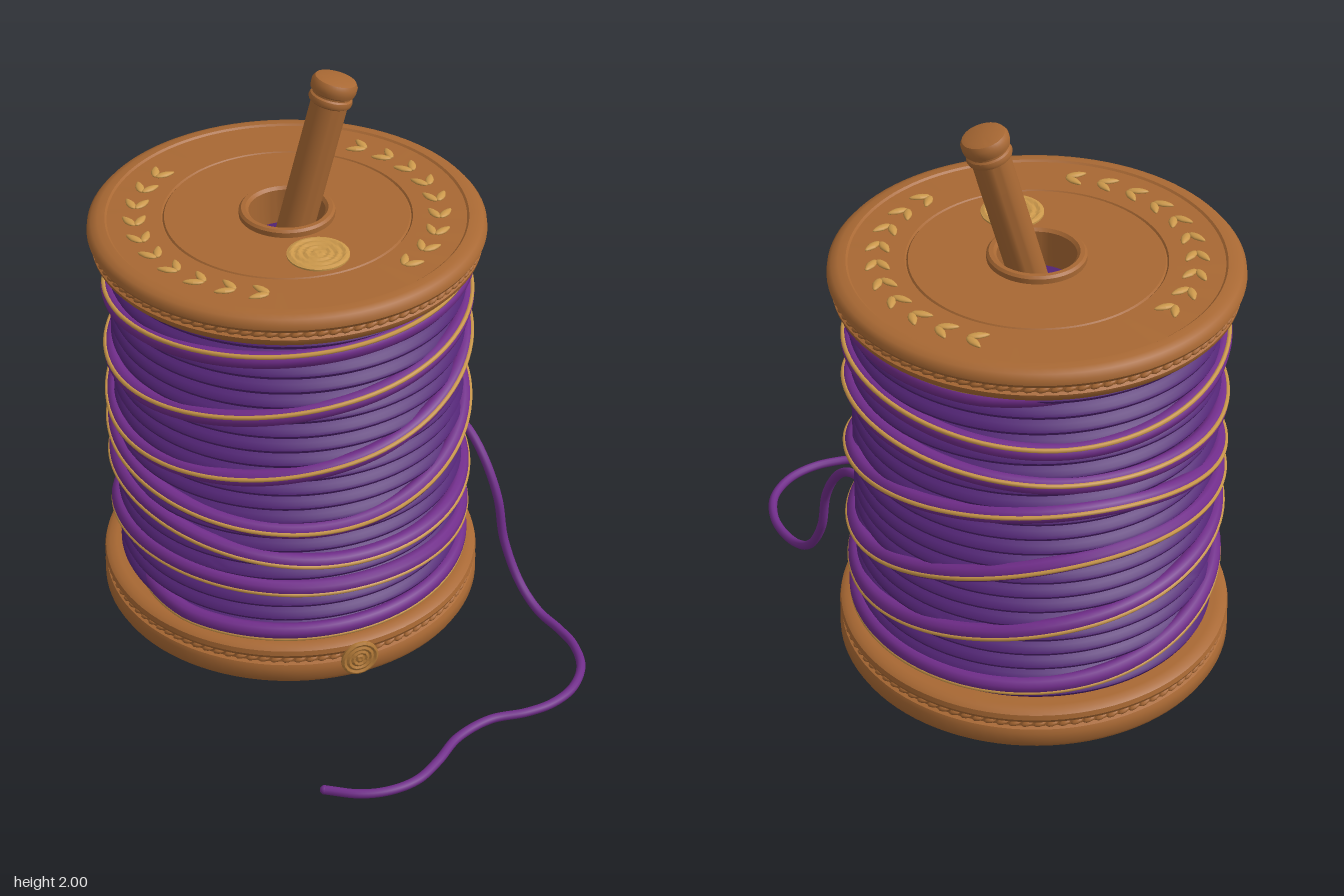
import * as THREE from 'three';
import { mergeGeometries, toCreasedNormals } from 'three/addons/utils/BufferGeometryUtils.js';

const mat = (name, color) => Object.assign(new THREE.MeshStandardMaterial({ color }), { name });

export function createModel() {
  const wood = mat('wood', 0xa86833);
  const gold = mat('gold', 0xcb984b);
  const wornGold = mat('wornGold', 0xb37a38);
  const thread = mat('deepPurpleThread', 0x522475);
  const cordPurple = mat('brightPurpleCord', 0x712d8b);

  const model = new THREE.Group();
  model.name = 'threadSpool';
  const spool = new THREE.Group();
  spool.name = 'spool';
  spool.position.set(-0.05, 0, -0.31);
  model.add(spool);

  const add = (name, geo, material, parent = spool) => {
    const m = new THREE.Mesh(geo, material);
    m.name = name;
    parent.add(m);
    return m;
  };
  const lathe = (pts, seg = 96, crease = 0.6) =>
    toCreasedNormals(new THREE.LatheGeometry(pts.map(p => new THREE.Vector2(p[0], p[1])), seg), crease);

  // Turned flanges
  add('bottomFlange', lathe([
    [0, 0.004], [0.645, 0.004], [0.665, 0.012], [0.675, 0.03], [0.675, 0.07], [0.668, 0.085],
    [0.655, 0.09], [0.655, 0.112], [0.668, 0.117], [0.674, 0.13], [0.67, 0.147], [0.655, 0.158],
    [0.63, 0.16], [0.5, 0.16],
  ]), wood);
  add('topFlange', lathe([
    [0.13, 1.392], [0.63, 1.392], [0.65, 1.396], [0.662, 1.41], [0.665, 1.424], [0.655, 1.43],
    [0.655, 1.452], [0.67, 1.456], [0.677, 1.468], [0.675, 1.485], [0.662, 1.5], [0.64, 1.508],
    [0.615, 1.51], [0.608, 1.504], [0.425, 1.504], [0.42, 1.498], [0.415, 1.504],
    [0.163, 1.504], [0.163, 1.522], [0.155, 1.53], [0.14, 1.53], [0.13, 1.52], [0.13, 1.392],
  ]), wood);

  // Slanted rope beads around both flanges
  const ropeTrim = (name, y) => {
    const beads = [];
    const count = 100;
    for (let i = 0; i < count; i++) {
      const g = new THREE.SphereGeometry(1, 8, 6);
      g.scale(0.022, 0.009, 0.011);
      g.rotateZ(0.35);
      g.translate(0, y, 0.658);
      g.rotateY((i / count) * Math.PI * 2);
      beads.push(g);
    }
    add(name, mergeGeometries(beads), wood);
  };
  ropeTrim('bottomRopeTrim', 0.102);
  ropeTrim('topRopeTrim', 1.441);

  // Wound thread: a stack of rounded coils, closed at the top as the hole floor
  const coils = 21, y0 = 0.155, y1 = 1.393;
  const body = [];
  for (let i = 0; i <= coils * 6; i++) {
    body.push([0.578 + 0.034 * Math.abs(Math.sin(i * Math.PI / 6)), y0 + (y1 - y0) * i / (coils * 6)]);
  }
  body.push([0, y1]);
  add('woundThread', lathe(body, 96, 0.8), thread);

  // Loose outer winding: height at each quarter turn (left, front, right, back, ...)
  const heights = [
    0.165, 0.175, 0.2, 0.225,
    0.37, 0.36, 0.33, 0.48,
    0.57, 0.475, 0.52, 0.74,
    0.69, 0.63, 0.83, 0.94,
    0.8, 0.895, 1.09, 1.05,
    1.02, 1.14, 1.24, 1.19,
    1.28, 1.35, 1.38, 1.385,
  ];
  const rise = new THREE.SplineCurve(heights.map((y, i) => new THREE.Vector2(i, y)));
  const winding = (isGold) => {
    const pts = [];
    const n = 500;
    for (let i = 0; i <= n; i++) {
      const t = i / n;
      const p = rise.getPoint(t);
      const a = (p.x - 1) * Math.PI / 2;
      const twist = -0.85 + 1.9 * t;              // the gold edge rolls from below to above
      const tuck = 0.06 * Math.max(0, 1 - Math.min(t, 1 - t) * 60);
      const r = 0.611 - tuck + (isGold ? 0.027 * Math.cos(twist) : 0);
      const y = p.y - (isGold ? 0 : 0.027 * Math.sin(twist));
      pts.push(new THREE.Vector3(r * Math.sin(a), y, r * Math.cos(a)));
    }
    const curve = new THREE.CatmullRomCurve3(pts);
    curve.arcLengthDivisions = 1500;
    return curve;
  };
  add('outerCord', new THREE.TubeGeometry(winding(false), 700, 0.029, 10), cordPurple);
  add('goldCordEdge', new THREE.TubeGeometry(winding(true), 700, 0.008, 6), gold);

  // Loose tail hanging off the side and trailing on the ground
  const tailPts = [
    [0.52, 0.635, -0.17], [0.548, 0.605, -0.085], [0.572, 0.53, 0], [0.595, 0.4, 0.075],
    [0.607, 0.24, 0.115], [0.635, 0.1, 0.2], [0.665, 0.035, 0.3], [0.697, 0.02, 0.4],
    [0.708, 0.02, 0.5], [0.68, 0.02, 0.62], [0.6, 0.02, 0.715], [0.5, 0.02, 0.762],
    [0.4, 0.02, 0.772], [0.27, 0.02, 0.76], [0.13, 0.02, 0.805], [0.02, 0.02, 0.89],
    [-0.08, 0.02, 0.95], [-0.18, 0.02, 0.965], [-0.28, 0.02, 0.945], [-0.385, 0.02, 0.882],
  ].map(p => new THREE.Vector3(...p));
  add('threadTail', new THREE.TubeGeometry(new THREE.CatmullRomCurve3(tailPts), 160, 0.016, 10), cordPurple, model);
  for (const p of [tailPts[0], tailPts[tailPts.length - 1]]) {
    add('threadTailEnd', new THREE.SphereGeometry(0.016, 10, 8), cordPurple, model).position.copy(p);
  }

  // Tilted peg with a rounded, collared head
  const peg = add('peg', lathe([
    [0, 0], [0.063, 0], [0.063, 0.57], [0.072, 0.576], [0.075, 0.586], [0.072, 0.597],
    [0.066, 0.602], [0.066, 0.608], [0.075, 0.614], [0.078, 0.626], [0.078, 0.645],
    [0.07, 0.658], [0.055, 0.663], [0, 0.665],
  ], 40), wood);
  peg.position.set(0.002, 1.345, 0);
  peg.rotation.z = -0.27;

  // Medallions with concentric rings
  const medallion = (radius, height) => {
    const pts = [[radius, -0.004], [radius, height]];
    for (let i = 1; i <= 36; i++) {
      pts.push([radius * (1 - i / 36), height + 0.005 * Math.sin(i / 36 * Math.PI * 4) ** 2]);
    }
    return lathe(pts, 48, 0.8);
  };
  add('topMedallion', medallion(0.105, 0.004), gold).position.set(0, 1.506, 0.29);
  const front = add('frontMedallion', medallion(0.068, 0.004), wornGold);
  front.position.set(0, 0.085, 0.674);
  front.rotation.x = Math.PI / 2;

  // Laurel branches: pairs of leaves along two arcs
  const leaf = new THREE.SphereGeometry(1, 12, 8);
  leaf.scale(0.015, 0.008, 0.036);
  const pos = leaf.attributes.position;
  for (let i = 0; i < pos.count; i++) {          // taper towards the tip
    const s = 1 - 0.4 * Math.max(0, -pos.getZ(i) / 0.036);
    pos.setX(i, pos.getX(i) * s);
  }
  leaf.computeVertexNormals();
  for (const side of [-1, 1]) {
    const branch = new THREE.Group();
    branch.name = side > 0 ? 'leftLaurel' : 'rightLaurel';
    spool.add(branch);
    for (let i = 0; i < 10; i++) {
      const b = THREE.MathUtils.degToRad(-60 + 112 * i / 9);
      const pair = new THREE.Group();
      pair.name = 'leafPair';
      pair.position.set(side * 0.515 * Math.cos(b), 1.507, -0.515 * Math.sin(b));
      pair.rotation.y = side * b;
      branch.add(pair);
      for (const k of [-1, 1]) {
        const m = add('leaf', leaf, gold, pair);
        m.position.set(k * 0.02, 0, -0.005);
        m.rotation.y = -k * 0.55;
      }
    }
  }
  return model;
}
